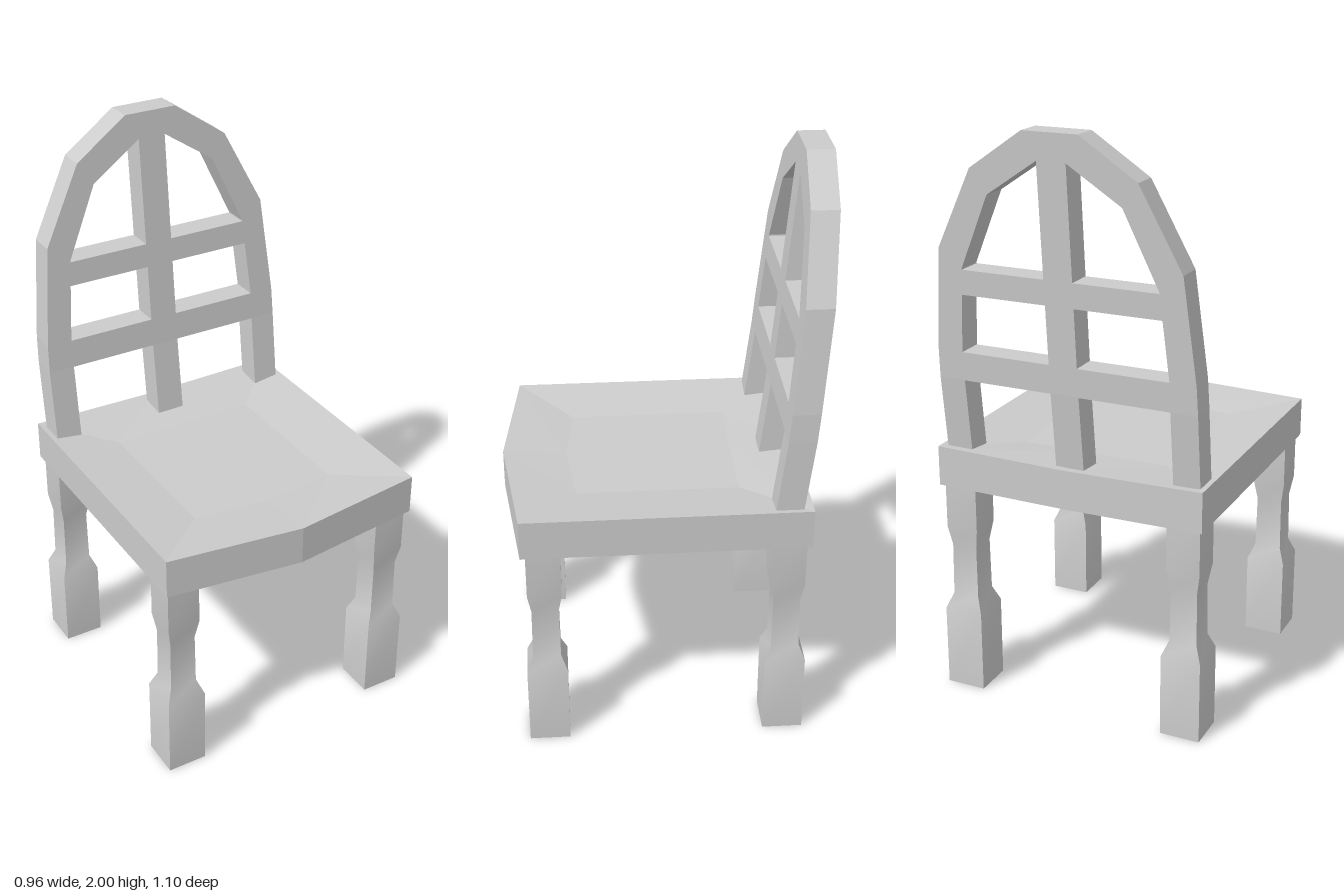
import * as THREE from 'three';
import { toCreasedNormals } from 'three/addons/utils/BufferGeometryUtils.js';

const material = new THREE.MeshStandardMaterial({ color: 0xcccccc });

// Skin a list of equal-length point rings and close both ends
function loft(rings, crease = 0.01) {
  const n = rings[0].length, last = rings.length - 1, index = [];
  for (let i = 0; i < last; i++) {
    for (let j = 0; j < n; j++) {
      const a = i * n + j, b = i * n + (j + 1) % n;
      index.push(a, b, b + n, a, b + n, a + n);
    }
  }
  for (let j = 1; j < n - 1; j++) {
    index.push(0, j + 1, j, last * n, last * n + j, last * n + j + 1);
  }
  const geometry = new THREE.BufferGeometry();
  geometry.setAttribute('position', new THREE.Float32BufferAttribute(rings.flat(2), 3));
  geometry.setIndex(index);
  return toCreasedNormals(geometry, crease);
}

function addMesh(parent, name, geometry) {
  const mesh = new THREE.Mesh(geometry, material);
  mesh.name = name;
  parent.add(mesh);
  return mesh;
}

// Six-cornered seat outline with a pointed front and a sagging middle
const seatRing = (x, back, front, frontMid, y, yMid = y) => [
  [x, y, front], [x, y, back], [0, yMid, back],
  [-x, y, back], [-x, y, front], [0, yMid, frontMid],
];

// Backrest front face: leans back, with a slight bend at y = 1.15
const backZ = (y) => (y < 1.15 ? -0.38 - (y - 1.15) * 0.12 : -0.38 - (y - 1.15) * 0.088);
const BACK_DEPTH = 0.093;

// Backrest bar from pairs of edge points [outerX, outerY, innerX, innerY]
const bar = (pairs) => loft(pairs.map(([ax, ay, bx, by]) => [
  [ax, ay, backZ(ay)], [ax, ay, backZ(ay) - BACK_DEPTH],
  [bx, by, backZ(by) - BACK_DEPTH], [bx, by, backZ(by)],
]));

export function createModel() {
  const chair = new THREE.Group();
  chair.name = 'chair';

  // Seat: recessed underside, rim, sides, dished top
  addMesh(chair, 'seat', loft([
    seatRing(0.45, -0.445, 0.465, 0.52, 0.795),
    seatRing(0.45, -0.445, 0.465, 0.52, 0.76, 0.755),
    seatRing(0.48, -0.475, 0.495, 0.55, 0.76, 0.755),
    seatRing(0.48, -0.475, 0.495, 0.55, 0.9, 0.892),
    seatRing(0.265, -0.25, 0.3, 0.33, 0.872),
  ]));

  // Square legs with a narrow waist: [height, half width]
  const legProfile = [[0, 0.07], [0.29, 0.07], [0.345, 0.048], [0.53, 0.046], [0.6, 0.058], [0.82, 0.058]];
  const legGeometry = loft(legProfile.map(([y, r]) => [[r, y, r], [r, y, -r], [-r, y, -r], [-r, y, r]]), 0.6);
  for (const [end, z] of [['front', 0.42], ['back', -0.4]]) {
    for (const [side, x] of [['Left', 0.41], ['Right', -0.41]]) {
      addMesh(chair, `${end}${side}Leg`, legGeometry).position.set(x, 0, z);
    }
  }

  // Backrest
  const backrest = new THREE.Group();
  backrest.name = 'backrest';
  chair.add(backrest);

  // Arched frame: left half, then its mirror image downwards
  const half = [
    [0.46, 0.85, 0.367, 0.85], [0.46, 1.15, 0.367, 1.15], [0.457, 1.25, 0.367, 1.25],
    [0.422, 1.6, 0.342, 1.54], [0.285, 1.87, 0.23, 1.79], [0.095, 2, 0.05, 1.91],
  ];
  const mirrored = half.map(([ax, ay, bx, by]) => [-ax, ay, -bx, by]).reverse();
  addMesh(backrest, 'archedFrame', bar([...half, ...mirrored]));

  // Centre slat
  addMesh(backrest, 'centreSlat', bar([0.85, 1.15, 1.91].map((y) => [0.05, y, -0.05, y])));

  // Cross rails on both sides of the slat: [bottom, top, bottom end, top end]
  for (const [y0, y1, x0, x1] of [[1.15, 1.25, 0.367, 0.367], [1.45, 1.535, 0.351, 0.343]]) {
    addMesh(backrest, 'leftCrossRail', bar([[x1, y1, x0, y0], [0.05, y1, 0.05, y0]]));
    addMesh(backrest, 'rightCrossRail', bar([[-0.05, y1, -0.05, y0], [-x1, y1, -x0, y0]]));
  }

  return chair;
}
